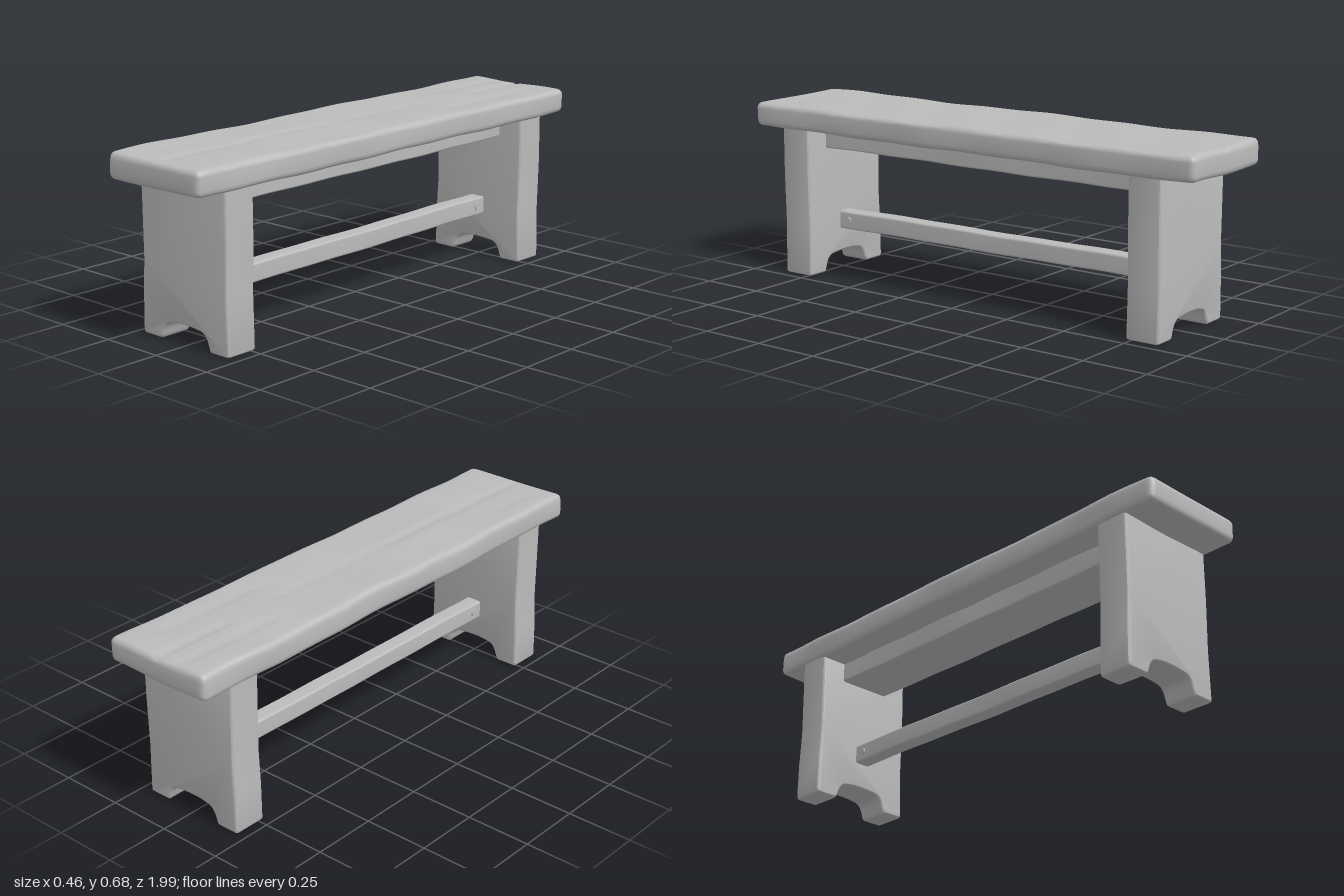
import * as THREE from 'three';
import { mergeVertices, toCreasedNormals } from 'three/addons/utils/BufferGeometryUtils.js';

const wood = new THREE.MeshStandardMaterial({ color: 0xbbbbbb });
wood.name = 'grey wood';

// gentle hand-hewn unevenness, always between -1 and 1
const wave = (a, b, s) =>
  (Math.sin(a * 17 + s) * Math.cos(b * 7 + s * 2) + 0.6 * Math.sin(b * 19 + a * 9 + s * 3)) / 1.6;

// grid line for step i of n, with two steps packed into each rounded edge
function gridLine(i, n, half, r) {
  if (i <= 2) return -half + (r * i) / 2;
  if (i >= n - 2) return half - (r * (n - i)) / 2;
  return -half + r + ((i - 2) / (n - 4)) * 2 * (half - r);
}

// rounded, slightly wavy timber; carve(p) may shape each vertex further
function timber(size, segs, r, rough, seed, carve = () => {}) {
  const half = size.map((s) => s / 2);
  let geo = new THREE.BoxGeometry(1, 1, 1, ...segs);
  geo.deleteAttribute('uv');
  geo.deleteAttribute('normal');
  geo = mergeVertices(geo);
  const pos = geo.attributes.position;
  const p = new THREE.Vector3(), core = new THREE.Vector3();
  for (let i = 0; i < pos.count; i++) {
    p.fromBufferAttribute(pos, i);
    ['x', 'y', 'z'].forEach((k, a) => {
      p[k] = gridLine(Math.round((p[k] + 0.5) * segs[a]), segs[a], half[a], r);
      core[k] = THREE.MathUtils.clamp(p[k], r - half[a], half[a] - r);
    });
    p.sub(core).setLength(r).add(core);
    const { x, y, z } = p;
    p.x += rough * wave(z, y, seed) * (Math.abs(x) / half[0]);
    p.y += rough * wave(x, z, seed + 1) * (Math.abs(y) / half[1]);
    carve(p);
    pos.setXYZ(i, p.x, p.y, p.z);
  }
  geo.computeVertexNormals();
  return geo;
}

function add(parent, name, geo, x = 0, y = 0, z = 0) {
  const mesh = new THREE.Mesh(geo, wood);
  mesh.name = name;
  mesh.position.set(x, y, z);
  parent.add(mesh);
  return mesh;
}

// solid end board with an arched cut-out between two feet
function legGeometry() {
  const s = new THREE.Shape();
  s.moveTo(-0.205, 0.003);
  s.lineTo(-0.128, 0.003);
  s.bezierCurveTo(-0.112, 0.01, -0.118, 0.05, -0.085, 0.066);
  s.quadraticCurveTo(-0.04, 0.076, 0, 0.074);
  s.quadraticCurveTo(0.05, 0.073, 0.08, 0.067);
  s.bezierCurveTo(0.115, 0.055, 0.108, 0.012, 0.124, 0.003);
  s.lineTo(0.2, 0.003);
  s.quadraticCurveTo(0.212, 0.003, 0.212, 0.016);
  s.lineTo(0.208, 0.2);
  s.lineTo(0.213, 0.4);
  s.lineTo(0.212, 0.6);
  s.lineTo(-0.213, 0.6);
  s.lineTo(-0.21, 0.28);
  s.lineTo(-0.217, 0.15);
  s.lineTo(-0.219, 0.02);
  s.quadraticCurveTo(-0.219, 0.003, -0.205, 0.003);
  const bevel = 0.012, depth = 0.133;
  const geo = new THREE.ExtrudeGeometry(s, {
    depth: depth - 2 * bevel, curveSegments: 8, bevelEnabled: true,
    bevelThickness: bevel, bevelSize: bevel, bevelOffset: -bevel, bevelSegments: 3,
  });
  geo.translate(0, 0, bevel - depth / 2);
  return toCreasedNormals(geo, 0.5);
}

export function createModel() {
  const bench = new THREE.Group();
  bench.name = 'bench';

  // cracks along the seat: x, start z, end z, depth
  const cracks = [
    [0, -0.99, -0.65, 0.007], [0, -0.4, 0.1, 0.004], [0, 0.15, 0.95, 0.007],
    [-0.1, -0.95, -0.55, 0.005], [0.12, -0.85, -0.4, 0.004], [-0.12, 0.7, 0.85, 0.004],
  ];
  const carveSeat = (p) => {
    if (p.y < 0.035) return;
    p.y -= p.x * 0.015;
    for (const [x, z0, z1, d] of cracks)
      if (Math.abs(p.x - x) < 0.01 && p.z > z0 && p.z < z1) p.y -= d;
  };
  add(bench, 'seat', timber([0.452, 0.097, 1.994], [24, 6, 64], 0.024, 0.004, 1, carveSeat), 0, 0.627, 0);

  // end boards
  const leg = legGeometry();
  add(bench, 'frontLeg', leg, 0, 0, 0.799);
  add(bench, 'backLeg', leg, 0, 0, -0.797);

  // beam under the seat
  add(bench, 'underBeam', timber([0.22, 0.1, 1.49], [10, 6, 36], 0.008, 0.003, 4), 0, 0.553, 0);

  // low stretcher, a little higher at the back, with pegs near its ends
  const stretcher = new THREE.Group();
  stretcher.name = 'stretcher';
  stretcher.position.y = 0.207;
  stretcher.rotation.x = 0.006;
  add(stretcher, 'stretcherBar', timber([0.066, 0.072, 1.5], [6, 6, 36], 0.009, 0.002, 7));
  const pegGeo = new THREE.CylinderGeometry(0.013, 0.015, 0.078, 10).rotateZ(Math.PI / 2);
  for (const side of [1, -1]) add(stretcher, 'peg', pegGeo, 0, 0, side * 0.69);
  bench.add(stretcher);

  return bench;
}
